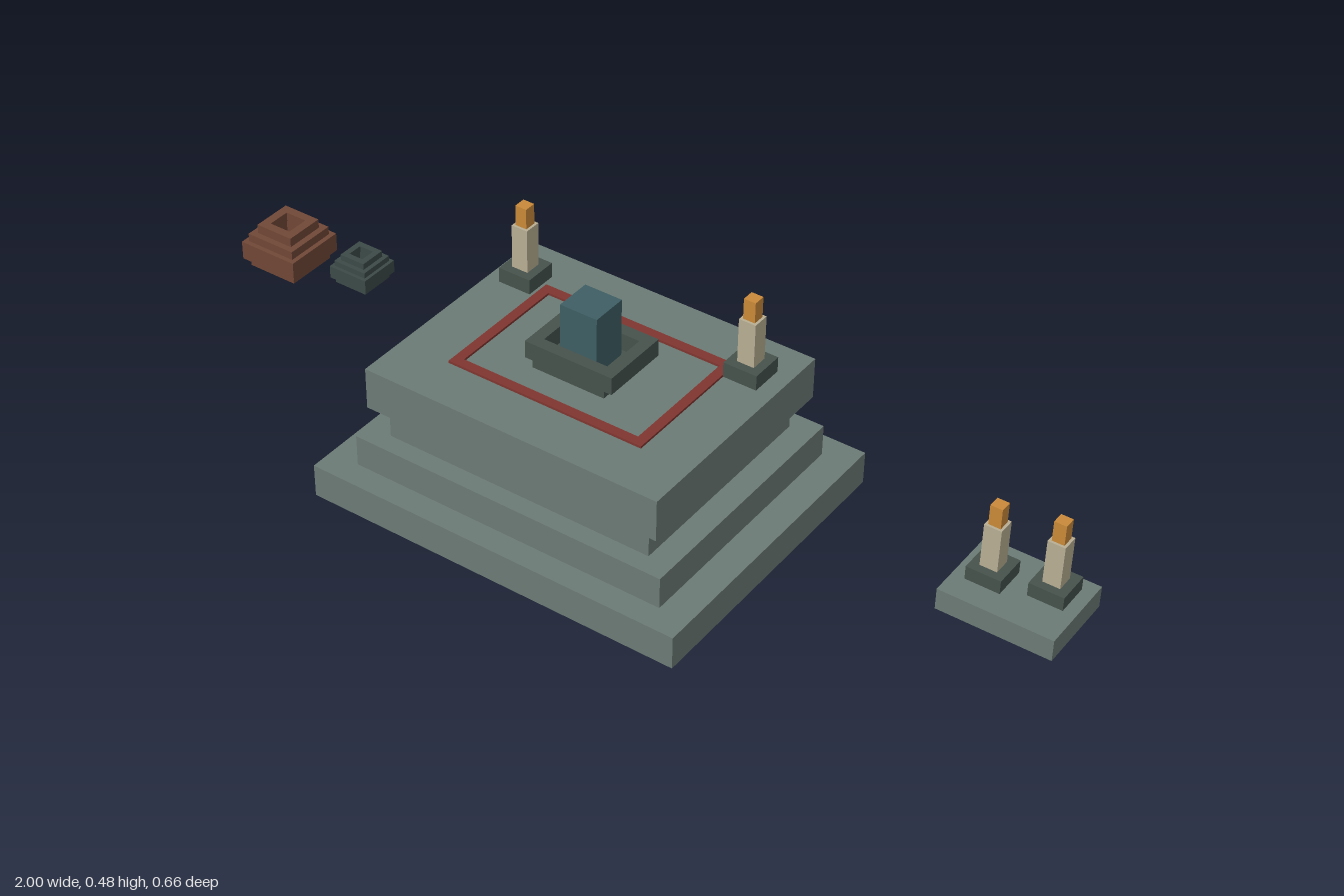
import * as THREE from 'three';

const mat = (name, color) => {
  const m = new THREE.MeshStandardMaterial({ color });
  m.name = name;
  return m;
};

export function createModel() {
  const stone = mat('grey green stone', 0x6c7b75);
  const darkStone = mat('dark stone', 0x46524d);
  const teal = mat('teal block', 0x3e5e63);
  const wax = mat('candle wax', 0xb8ae93);
  const flame = mat('flame orange', 0xc98a39);
  const red = mat('red inlay', 0x803530);
  const clay = mat('brown clay', 0x704736);
  const darkClay = mat('dark clay', 0x3c4a47);

  const root = new THREE.Group();
  root.name = 'shrine';

  // Box resting at height y0
  function box(parent, name, m, w, h, d, x, y0, z) {
    const mesh = new THREE.Mesh(new THREE.BoxGeometry(w, h, d), m);
    mesh.name = name;
    mesh.position.set(x, y0 + h / 2, z);
    parent.add(mesh);
    return mesh;
  }

  // Rectangular ring resting at height y0
  function ring(parent, name, m, w, d, t, h, x, y0, z) {
    const rect = (P, a, b) => {
      const p = new P();
      p.moveTo(-a, -b); p.lineTo(a, -b); p.lineTo(a, b); p.lineTo(-a, b); p.closePath();
      return p;
    };
    const shape = rect(THREE.Shape, w / 2, d / 2);
    shape.holes.push(rect(THREE.Path, w / 2 - t, d / 2 - t));
    const geo = new THREE.ExtrudeGeometry(shape, { depth: h, bevelEnabled: false });
    geo.rotateX(-Math.PI / 2);
    const mesh = new THREE.Mesh(geo, m);
    mesh.name = name;
    mesh.position.set(x, y0, z);
    parent.add(mesh);
  }

  // Stepped platform: width, depth, bottom, top
  const cx = 0.035;
  const platform = new THREE.Group();
  platform.name = 'platform';
  root.add(platform);
  [
    [0.84, 0.66, 0, 0.073],
    [0.708, 0.554, 0.073, 0.142],
    [0.602, 0.474, 0.142, 0.212],
    [0.668, 0.526, 0.212, 0.303],
  ].forEach(([w, d, a, b], i) => box(platform, `platformStep${i + 1}`, stone, w, b - a, d, cx, a, 0));
  ring(platform, 'redBorder', red, 0.443, 0.31, 0.021, 0.005, 0.0375, 0.303, 0);

  // Central tray holding the teal block
  const altar = new THREE.Group();
  altar.name = 'altar';
  root.add(altar);
  box(altar, 'altarFloor', darkStone, 0.165, 0.016, 0.146, cx, 0.303, 0);
  ring(altar, 'altarRim', darkStone, 0.2, 0.152, 0.026, 0.038, cx, 0.319, -0.003);
  box(altar, 'altarBlock', teal, 0.084, 0.127, 0.08, cx, 0.319, 0);

  // Candle on a square foot
  function candle(x, y, z, footH) {
    const g = new THREE.Group();
    g.name = 'candle';
    g.position.set(x, y, z);
    box(g, 'candleFoot', darkStone, 0.074, footH, 0.074, 0, 0, 0);
    box(g, 'candleStick', wax, 0.037, 0.097, 0.037, 0, footH, 0);
    box(g, 'candleFlame', flame, 0.026, 0.045, 0.026, 0, footH + 0.097, 0);
    root.add(g);
  }
  candle(-0.227, 0.308, -0.145, 0.033);
  candle(0.299, 0.308, -0.145, 0.033);

  // Side plinth with two candles
  box(root, 'sidePlinth', stone, 0.244, 0.048, 0.184, 0.878, 0, -0.183);
  candle(0.82, 0.048, -0.183, 0.03);
  candle(0.936, 0.048, -0.21, 0.03);

  // Stepped square pot with an open mouth
  function pot(name, m, x, z, s) {
    const g = new THREE.Group();
    g.name = name;
    box(g, 'potFloor', m, 0.08, 0.018, 0.08, 0, 0, 0);
    [
      [0.12, 0.018, 0.037, 0.025],
      [0.143, 0.037, 0.08, 0.022],
      [0.121, 0.08, 0.099, 0.022],
      [0.092, 0.099, 0.12, 0.02],
    ].forEach(([w, a, b, t], i) => ring(g, `potWall${i + 1}`, m, w, w, t, b - a, 0, a, 0));
    g.scale.setScalar(s);
    g.position.set(x, 0, z);
    root.add(g);
  }
  pot('brownPot', clay, -0.9285, -0.23, 1);
  pot('darkPot', darkClay, -0.765, -0.275, 0.68);

  return root;
}
